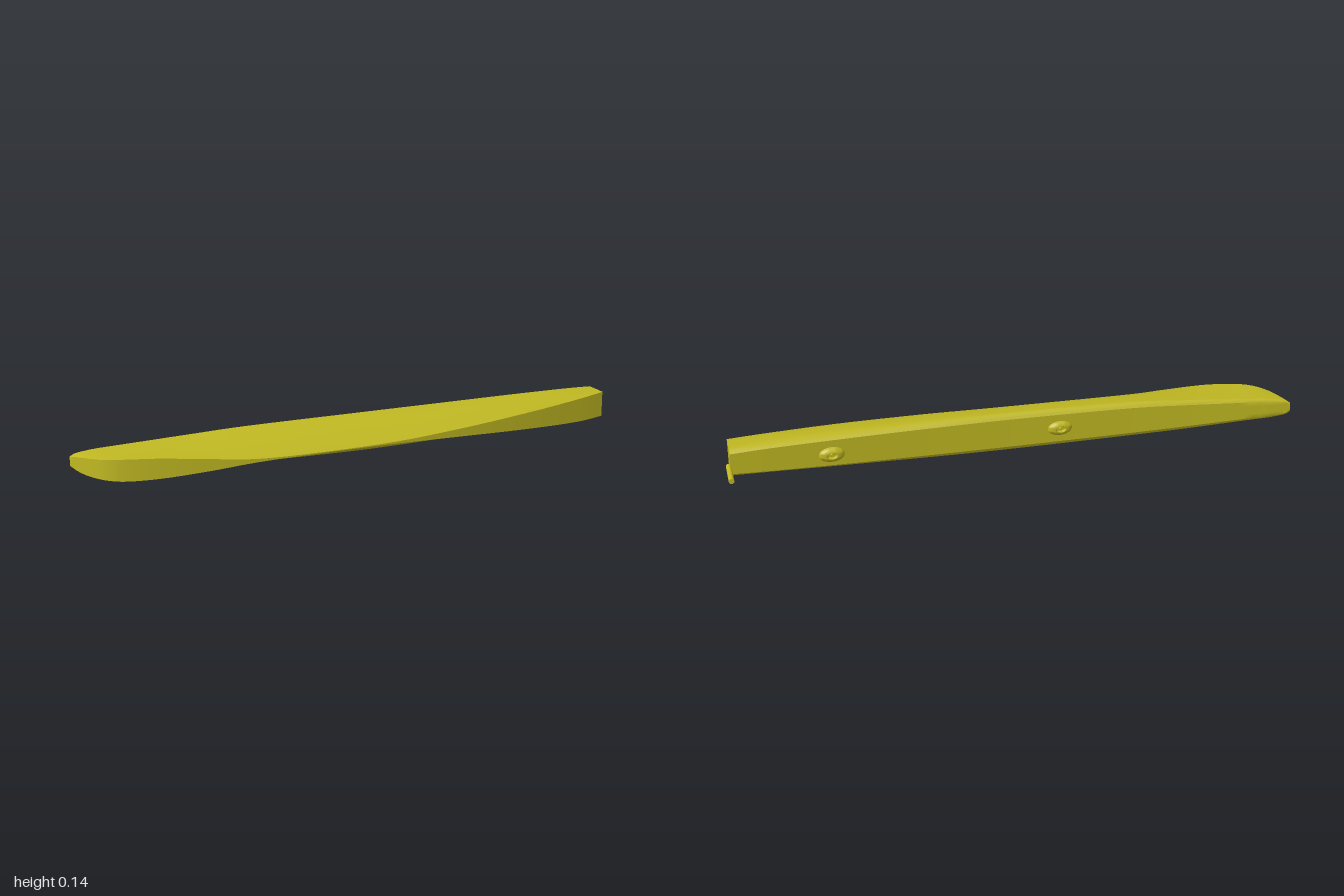
import * as THREE from 'three';
import { toCreasedNormals } from 'three/addons/utils/BufferGeometryUtils.js';

// Hull stations: x, keel z, deck z, side top y, side bottom y, keel face top y, keel face bottom y, gunwale z
const STATIONS = [
  [-1.0, -0.074, -0.080, 0.092, 0.058, 0.090, 0.060, -0.077],
  [-0.985, -0.035, -0.079, 0.101, 0.048, 0.098, 0.050, -0.073],
  [-0.96, 0.020, -0.077, 0.106, 0.043, 0.104, 0.044, -0.070],
  [-0.92, 0.070, -0.074, 0.111, 0.038, 0.108, 0.040, -0.066],
  [-0.86, 0.100, -0.069, 0.115, 0.034, 0.110, 0.037, -0.060],
  [-0.75, 0.128, -0.062, 0.121, 0.027, 0.107, 0.041, -0.051],
  [-0.6, 0.153, -0.053, 0.129, 0.018, 0.093, 0.053, -0.040],
  [-0.4, 0.172, -0.045, 0.138, 0.010, 0.077, 0.069, -0.027],
  [0.0, 0.173, -0.038, 0.141, 0.004, 0.076, 0.071, -0.018],
  [0.3, 0.159, -0.042, 0.141, 0.007, 0.089, 0.062, -0.018],
  [0.6, 0.123, -0.052, 0.140, 0.015, 0.105, 0.046, -0.019],
  [0.85, 0.075, -0.061, 0.136, 0.025, 0.118, 0.033, -0.027],
  [0.985, 0.041, -0.064, 0.129, 0.032, 0.126, 0.034, -0.044],
];

// Points of a quadratic curve, leaving out its last point
function curvePoints(a, control, b, n) {
  const curve = new THREE.QuadraticBezierCurve(
    new THREE.Vector2(...a), new THREE.Vector2(...control), new THREE.Vector2(...b));
  return curve.getPoints(n).slice(0, n);
}

// Closed cross-section as (y, z) points, from the keel over the top to the deck and back
function section([, keel, deck, top, bottom, faceTop, faceBottom, gunwale]) {
  const mix = THREE.MathUtils.lerp;
  const inset = (top - bottom) * 0.13;
  const lip = mix(gunwale, deck, 0.6);
  return [
    ...curvePoints([faceTop, keel], [mix(faceTop, top, 0.8), mix(keel, gunwale, 0.4)], [top, gunwale], 8),
    ...curvePoints([top, gunwale], [top - inset * 0.15, lip], [top - inset, deck], 4),
    ...curvePoints([top - inset, deck], [(top + bottom) / 2, deck], [bottom + inset, deck], 4),
    ...curvePoints([bottom + inset, deck], [bottom + inset * 0.15, lip], [bottom, gunwale], 4),
    ...curvePoints([bottom, gunwale], [mix(faceBottom, bottom, 0.47), mix(keel, gunwale, 0.5)], [faceBottom, keel], 8),
    new THREE.Vector2(faceBottom, keel),
  ];
}

function hullGeometry() {
  // Smooth curves through each column of the station table
  const channels = STATIONS[0].map((_, c) =>
    new THREE.SplineCurve(STATIONS.map((row, i) => new THREE.Vector2(i, row[c]))));
  const steps = 72;
  const positions = [];
  const index = [];
  let count = 0;
  for (let i = 0; i <= steps; i++) {
    const values = channels.map((c) => c.getPoint(i / steps).y);
    const ring = section(values);
    count = ring.length;
    for (const p of ring) positions.push(values[0], p.x, p.y);
  }
  for (let i = 0; i < steps; i++) {
    for (let j = 0; j < count; j++) {
      const k = (j + 1) % count;
      const a = i * count + j, b = a + count, d = i * count + k, c = d + count;
      index.push(a, b, c, a, c, d);
    }
  }
  // Flat caps on the bow edge and the transom
  for (const [row, end] of [[0, 0], [steps, 1]]) {
    const s = STATIONS[end ? STATIONS.length - 1 : 0];
    const centre = positions.length / 3;
    positions.push(s[0], (s[3] + s[4]) / 2, (s[1] + s[2]) / 2);
    for (let j = 0; j < count; j++) {
      const a = row * count + j, b = row * count + (j + 1) % count;
      if (end) index.push(centre, b, a);
      else index.push(centre, a, b);
    }
  }
  const geometry = new THREE.BufferGeometry();
  geometry.setAttribute('position', new THREE.Float32BufferAttribute(positions, 3));
  geometry.setIndex(index);
  return toCreasedNormals(geometry, 0.45);
}

export function createModel() {
  const model = new THREE.Group();
  model.name = 'boatHull';
  const olive = new THREE.MeshStandardMaterial({ color: 0xbfb722 });
  olive.name = 'olive yellow';

  function add(name, geometry, parent = model) {
    const mesh = new THREE.Mesh(geometry, olive);
    mesh.name = name;
    parent.add(mesh);
    return mesh;
  }

  add('hull', hullGeometry());

  // Oval bosses on the deck, each a hollow dome with a small raised pin
  for (const [x, z] of [[-0.15, -0.038], [0.65, -0.054]]) {
    const boss = new THREE.Group();
    boss.name = 'deckBoss';
    boss.position.set(x, 0.073, z);
    boss.rotation.x = -Math.PI / 2;
    const profile = [[0.045, -0.006], [0.043, 0.004], [0.036, 0.011], [0.026, 0.016], [0.019, 0.017],
      [0.016, 0.013], [0.015, 0.004], [0, 0.004]].map((p) => new THREE.Vector2(...p));
    const dome = add('bossDome', toCreasedNormals(new THREE.LatheGeometry(profile, 32), 0.6), boss);
    dome.scale.z = 0.6;
    add('bossPin', new THREE.CylinderGeometry(0.005, 0.005, 0.012, 16), boss).position.y = 0.008;
    model.add(boss);
  }

  // Round peg on the transom, pointing away from the deck
  const peg = add('sternPeg', new THREE.CylinderGeometry(0.009, 0.009, 0.119, 24));
  peg.rotation.x = Math.PI / 2;
  peg.position.set(0.991, 0.071, -0.1165);
  return model;
}
